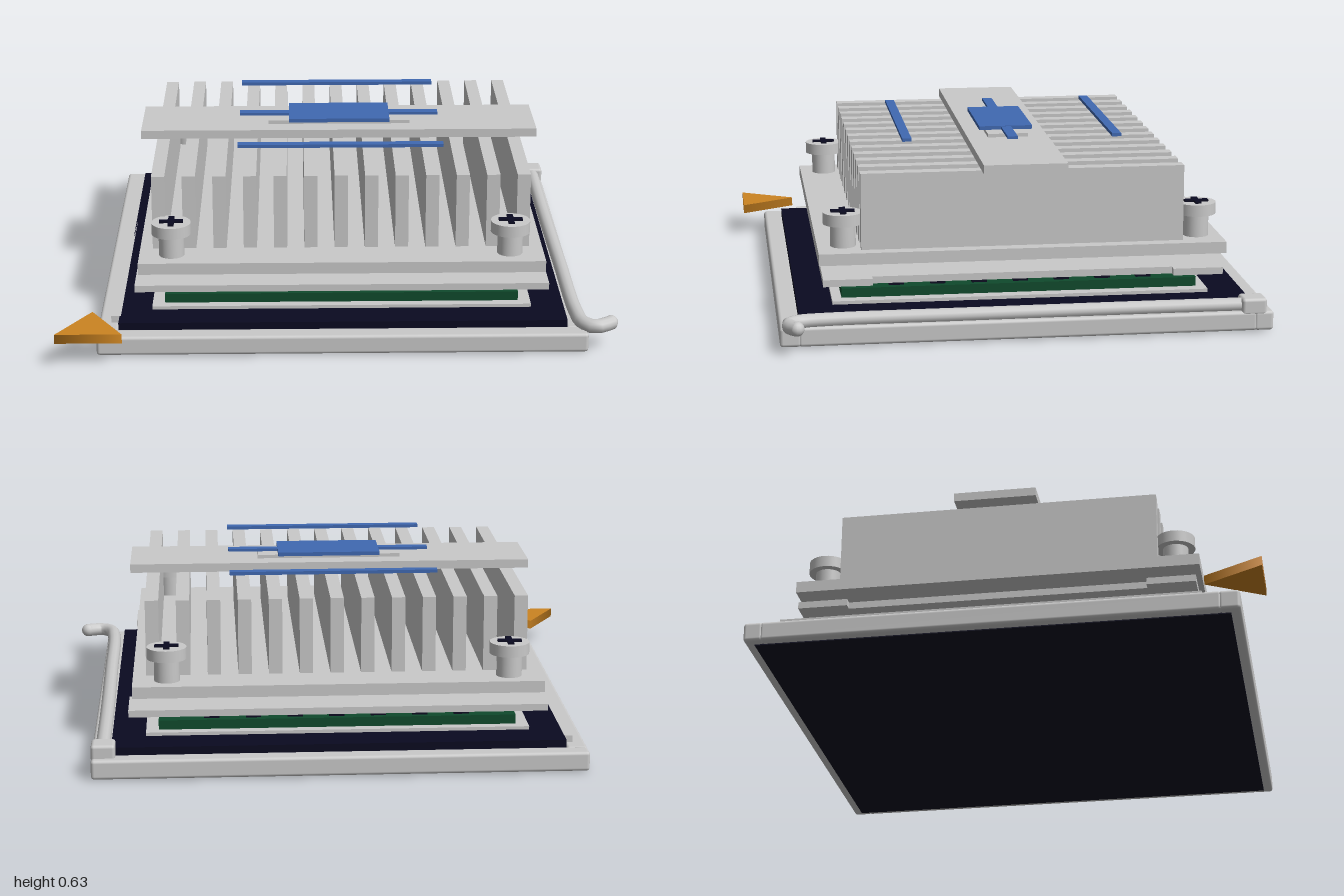
import * as THREE from 'three';
import { RoundedBoxGeometry } from 'three/addons/geometries/RoundedBoxGeometry.js';

const mat = (name, color) => {
  const m = new THREE.MeshStandardMaterial({ color });
  m.name = name;
  return m;
};

export function createModel() {
  const metal = mat('brushed metal', 0xc9c9c9);
  const black = mat('dark plastic', 0x0a0a20);
  const green = mat('board green', 0x0f4a2c);
  const blue = mat('badge blue', 0x4069b2);
  const gold = mat('marker gold', 0xcc8422);

  const root = new THREE.Group();
  root.name = 'socketAndCooler';

  const add = (name, geo, material, x = 0, y = 0, z = 0, parent = root) => {
    const mesh = new THREE.Mesh(geo, material);
    mesh.name = name;
    mesh.position.set(x, y, z);
    parent.add(mesh);
    return mesh;
  };
  // Box given by its limits along each axis
  const box = (name, material, [x0, x1], [y0, y1], [z0, z1], parent = root) =>
    add(name, new THREE.BoxGeometry(x1 - x0, y1 - y0, z1 - z0), material,
      (x0 + x1) / 2, (y0 + y1) / 2, (z0 + z1) / 2, parent);
  const roundBox = (name, material, [x0, x1], [y0, y1], [z0, z1]) =>
    add(name, new RoundedBoxGeometry(x1 - x0, y1 - y0, z1 - z0, 2, 0.012), material,
      (x0 + x1) / 2, (y0 + y1) / 2, (z0 + z1) / 2);

  // Socket: dark body inside a metal frame
  box('socketUnderside', black, [-0.825, 0.86], [0, 0.03], [-0.885, 0.8]);
  box('socketBody', black, [-0.785, 0.825], [0.03, 0.1], [-0.85, 0.765]);
  roundBox('frameBack', metal, [-0.86, 0.895], [0.004, 0.075], [-0.92, -0.85]);
  roundBox('frameFront', metal, [-0.86, 0.895], [0.004, 0.075], [0.76, 0.835]);
  roundBox('frameRight', metal, [-0.86, -0.785], [0.004, 0.075], [-0.86, 0.77]);
  roundBox('frameLeft', metal, [0.82, 0.895], [0.004, 0.075], [-0.86, 0.77]);
  box('hingeRail', metal, [-0.815, -0.78], [0.07, 0.1], [-0.8, 0.7]);

  // Locking lever with hooked handle
  roundBox('leverBlock', metal, [0.81, 0.895], [0.06, 0.122], [-0.895, -0.805]);
  const leverPath = new THREE.CatmullRomCurve3([
    [0.855, 0.092, -0.82], [0.855, 0.092, -0.4], [0.86, 0.092, 0.2], [0.865, 0.092, 0.66],
    [0.88, 0.092, 0.77], [0.915, 0.092, 0.806], [0.955, 0.094, 0.795], [0.985, 0.096, 0.775],
  ].map((p) => new THREE.Vector3(...p)));
  add('lever', new THREE.TubeGeometry(leverPath, 60, 0.026, 12), metal);
  add('leverTip', new THREE.SphereGeometry(0.026, 12, 8), metal, 0.979, 0.096, 0.778);

  // Corner markers
  add('cornerMarker', new THREE.CylinderGeometry(0.137, 0.137, 0.034, 3).rotateY(Math.PI),
    gold, -0.88, 0.107, 0.852);
  add('boardMarker', new THREE.CylinderGeometry(0.09, 0.09, 0.018, 3).rotateY(Math.PI),
    gold, -0.557, 0.156, 0.54);

  // Processor board with its chips
  box('boardSeat', metal, [-0.67, 0.705], [0.1, 0.112], [-0.72, 0.64]);
  box('board', green, [-0.625, 0.66], [0.112, 0.146], [-0.685, 0.605]);
  const chips = new THREE.Group();
  chips.name = 'boardChips';
  root.add(chips);
  const chip = (x, z, w, d) =>
    box('chip', black, [x - w / 2, x + w / 2], [0.146, 0.158], [z - d / 2, z + d / 2], chips);
  for (let i = 0; i < 7; i++) {
    const s = -0.43 + i * 0.15;
    for (const z of [-0.65, 0.565]) chip(s, z, 0.055, 0.03);
    for (const x of [-0.59, 0.62]) chip(x, s - 0.065, 0.03, 0.055);
  }

  // Heat spreader, mounting bracket and stepped contact plates
  box('heatSpreader', metal, [-0.54, 0.58], [0.146, 0.182], [-0.6, 0.52]);
  box('bracketCentre', metal, [-0.7, 0.735], [0.182, 0.207], [-0.58, 0.5]);
  box('bracketBack', metal, [-0.73, 0.765], [0.182, 0.207], [-0.76, -0.58]);
  box('bracketFront', metal, [-0.73, 0.765], [0.182, 0.207], [0.5, 0.675]);
  box('lowerContact', metal, [-0.475, 0.51], [0.207, 0.228], [-0.54, 0.45]);
  box('upperContact', metal, [-0.49, 0.525], [0.228, 0.255], [-0.555, 0.465]);

  // Heat sink
  box('sinkBase', metal, [-0.715, 0.75], [0.255, 0.297], [-0.775, 0.688]);
  const fins = new THREE.Group();
  fins.name = 'fins';
  root.add(fins);
  for (let i = 0; i < 13; i++) {
    const x = -0.645 + i * 0.1103;
    box('fin', metal, [x - 0.024, x + 0.024], [0.297, 0.573], [-0.625, 0.535], fins);
  }
  box('topBar', metal, [-0.73, 0.765], [0.573, 0.605], [-0.195, 0.105]);
  box('badgeSeat', metal, [-0.25, 0.287], [0.605, 0.618], [-0.12, 0.03]);

  // Blue badge and stripes
  box('badge', blue, [-0.172, 0.21], [0.618, 0.632], [-0.147, 0.053]);
  box('badgeArmRight', blue, [-0.36, -0.172], [0.62, 0.63], [-0.067, -0.029]);
  box('badgeArmLeft', blue, [0.21, 0.397], [0.62, 0.63], [-0.067, -0.029]);
  for (const z of [-0.435, 0.342]) {
    box('stripe', blue, [-0.36, 0.397], [0.62, 0.632], [z - 0.017, z + 0.017]);
  }

  // Four corner screws with cross slots
  for (const x of [-0.597, 0.627]) {
    for (const z of [-0.687, 0.595]) {
      const screw = new THREE.Group();
      screw.name = 'screw';
      screw.position.set(x, 0, z);
      root.add(screw);
      add('screwPost', new THREE.CylinderGeometry(0.046, 0.046, 0.09, 24), metal, 0, 0.339, 0, screw);
      add('screwHead', new THREE.CylinderGeometry(0.071, 0.071, 0.042, 32), metal, 0, 0.4, 0, screw);
      box('slotAcross', black, [-0.043, 0.043], [0.42, 0.428], [-0.011, 0.011], screw);
      for (const s of [-1, 1]) {
        add('slotAlong', new THREE.BoxGeometry(0.022, 0.008, 0.032), black, 0, 0.424, s * 0.027, screw);
      }
    }
  }
  return root;
}
